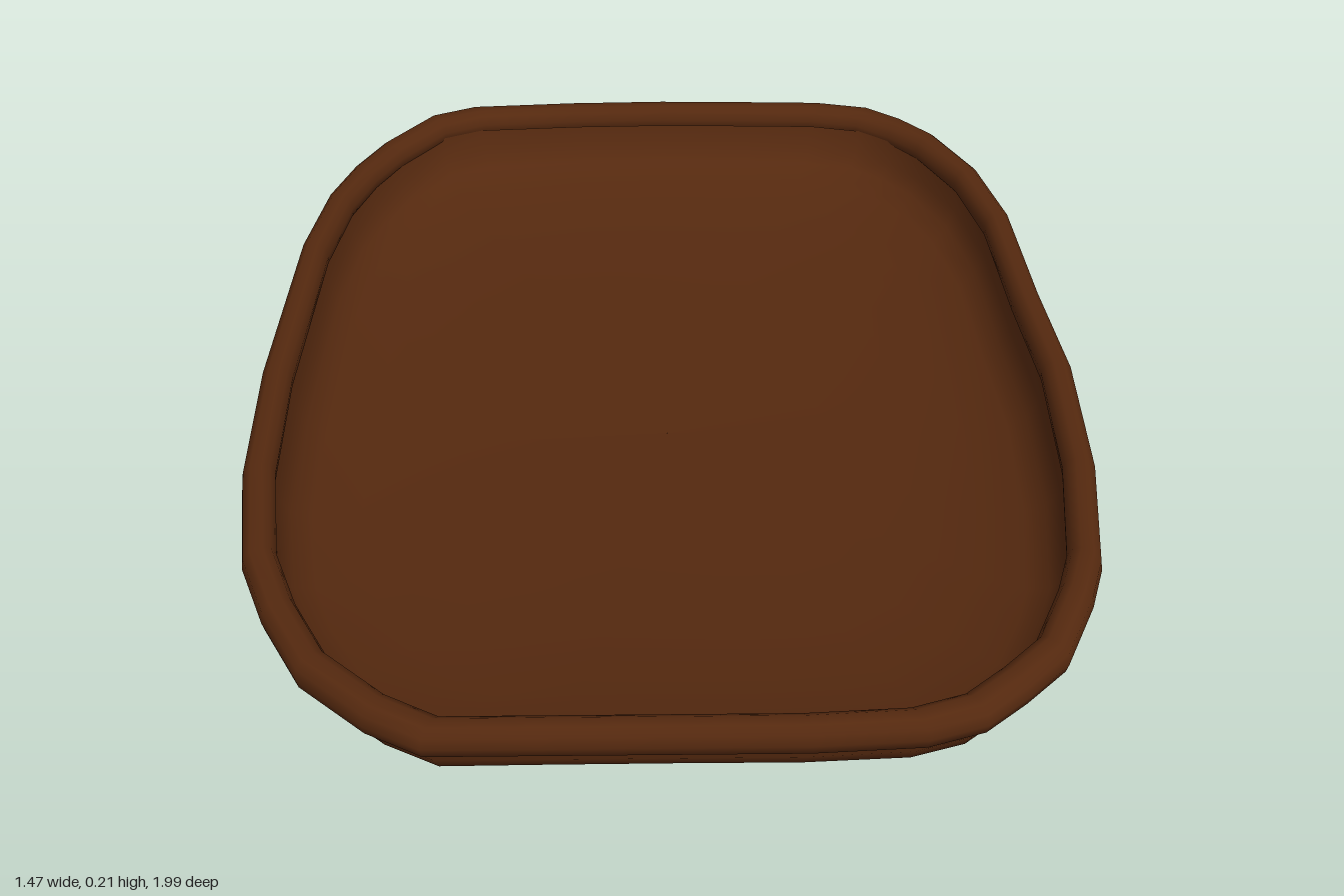
import * as THREE from 'three';

// Rim outline seen from above, [x, z], clockwise from the middle of the back
const OUTLINE = [
  [0, -1], [0.2, -0.995], [0.35, -0.99], [0.46, -0.965], [0.53, -0.91], [0.59, -0.84], [0.66, -0.69],
  [0.70, -0.5], [0.715, -0.2], [0.735, 0.05], [0.725, 0.35], [0.69, 0.6], [0.66, 0.69],
  [0.6, 0.82], [0.53, 0.89], [0.46, 0.95], [0.37, 0.98], [0.2, 0.99], [0, 0.99], [-0.2, 0.99],
  [-0.37, 0.99], [-0.46, 0.94], [-0.57, 0.84], [-0.64, 0.71], [-0.69, 0.58], [-0.725, 0.35],
  [-0.735, 0.05], [-0.72, -0.4], [-0.69, -0.6], [-0.65, -0.72], [-0.6, -0.82], [-0.51, -0.94],
  [-0.42, -0.98], [-0.2, -0.995],
];

// Joins rings of points into a smooth surface; the profile runs outward, up, then inward
function loft(name, rings, material) {
  const n = OUTLINE.length;
  const index = [];
  for (let i = 0; i < rings.length - 1; i++) {
    for (let j = 0; j < n; j++) {
      const k = (j + 1) % n;
      const a = i * n + j, b = i * n + k, c = (i + 1) * n + j, d = (i + 1) * n + k;
      index.push(a, c, b, b, c, d);
    }
  }
  const geometry = new THREE.BufferGeometry();
  geometry.setAttribute('position', new THREE.Float32BufferAttribute(rings.flat(2), 3));
  geometry.setIndex(index);
  geometry.computeVertexNormals();
  const mesh = new THREE.Mesh(geometry, material);
  mesh.name = name;
  return mesh;
}

// Dish ring: [scale, height at the long sides, height at the ends]
function dishRing([s, ySide, yEnd], lift = 0) {
  return OUTLINE.map(([x, z]) => {
    const w = (z * z) / (x * x + z * z);
    return [x * s, THREE.MathUtils.lerp(ySide, yEnd, w) + lift, z * s];
  });
}

// Rim ring: [inset from the outline, height]
function rimRing([d, y]) {
  return OUTLINE.map(([x, z]) => [x * (1 - d / 0.735), y, z * (1 - d)]);
}

export function createModel() {
  const group = new THREE.Group();
  group.name = 'tray';
  const brown = new THREE.MeshStandardMaterial({ color: 0x55290f, side: THREE.DoubleSide });

  // Bowed underside, steeper at the long sides than at the ends
  const underside = [
    [0.001, 0, 0], [0.4, 0, 0.01], [0.6, 0.004, 0.024], [0.75, 0.015, 0.038],
    [0.87, 0.036, 0.062], [0.92, 0.055, 0.08], [0.95, 0.085, 0.1], [0.965, 0.125, 0.125], [0.967, 0.17, 0.17],
  ];
  group.add(loft('dishUnderside', underside.map((r) => dishRing(r)), brown));

  // Inner floor and wall, following the underside
  const inside = [
    [0.94, 0.155, 0.155], [0.93, 0.105, 0.11], [0.905, 0.065, 0.085], [0.86, 0.04, 0.065],
    [0.75, 0.016, 0.038], [0.6, 0.004, 0.024], [0.4, 0, 0.01], [0.001, 0, 0],
  ];
  group.add(loft('dishFloor', inside.map((r) => dishRing(r, 0.02)), brown));

  // Rounded rim bead
  const bead = [
    [0.045, 0.16], [0.018, 0.155], [0.004, 0.163], [0, 0.18], [0.003, 0.199], [0.015, 0.21],
    [0.035, 0.21], [0.048, 0.202], [0.055, 0.185], [0.053, 0.168], [0.045, 0.16],
  ];
  group.add(loft('rim', bead.map(rimRing), brown));

  return group;
}
